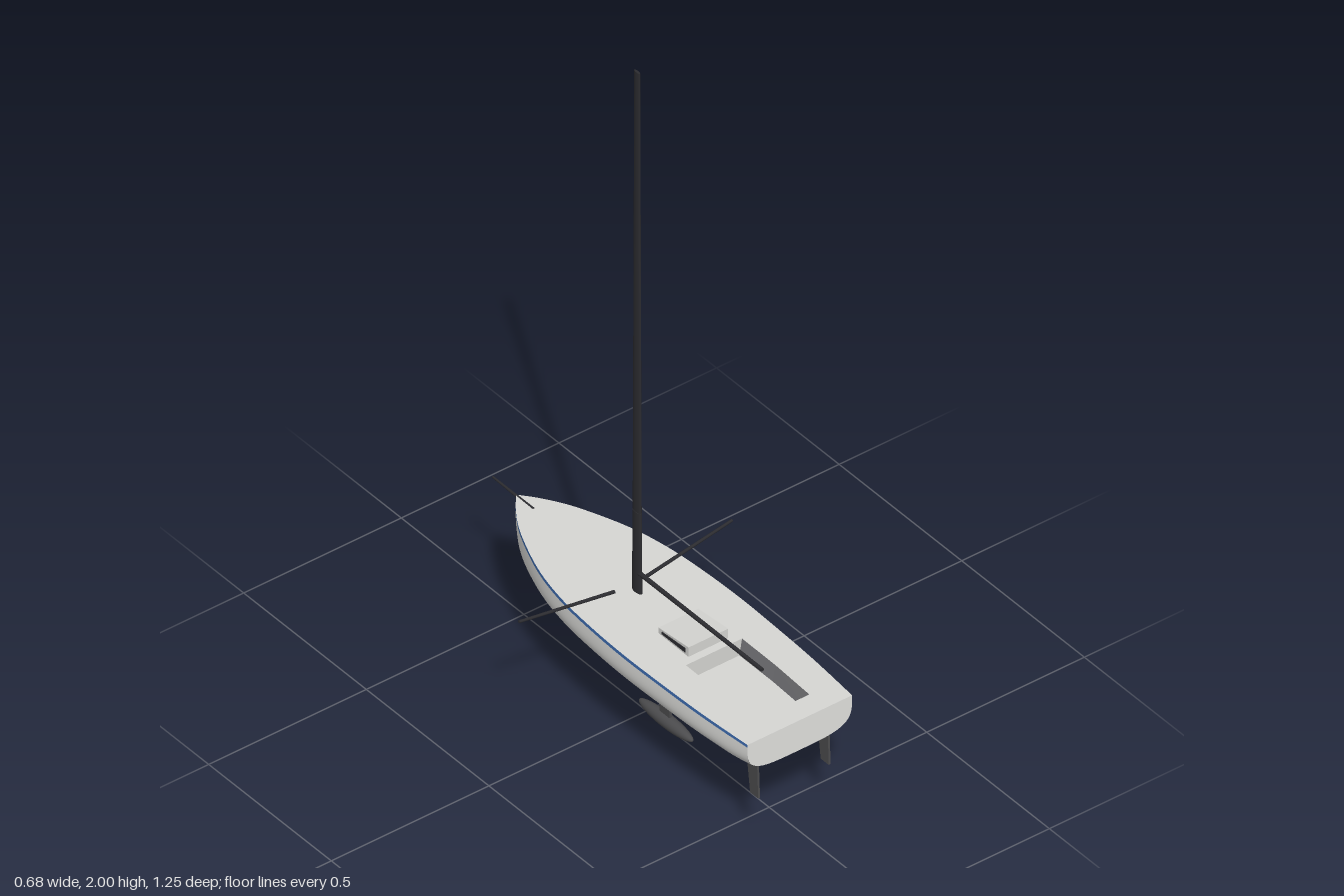
import * as THREE from 'three';

const mat = (name, color, side = THREE.FrontSide) => {
  const m = new THREE.MeshStandardMaterial({ color, side });
  m.name = name;
  return m;
};

// piecewise curves along the boat (bow at -z, stern at +z)
const STERN = 0.625, BOW = -0.53;
const beamCurve = new THREE.SplineCurve([
  [0.625, 0.166], [0.45, 0.179], [0.28, 0.185], [0.14, 0.187], [0, 0.182], [-0.13, 0.17],
  [-0.26, 0.142], [-0.4, 0.088], [-0.48, 0.041], [-0.53, 0.001],
].map(([z, b]) => new THREE.Vector2(z, b)));
const stations = beamCurve.getPoints(54);
const keelLine = [[0.625, 0.258], [0.56, 0.245], [0.4, 0.239], [0.1, 0.236], [-0.38, 0.239], [-0.43, 0.248], [-0.53, 0.3]];
const keelY = (z) => {
  for (let i = 1; i < keelLine.length; i++) {
    const [z0, y0] = keelLine[i - 1], [z1, y1] = keelLine[i];
    if (z >= z1) return y0 + (y1 - y0) * (z0 - z) / (z0 - z1);
  }
  return 0.3;
};
const deckY = (z) => 0.352 + 0.008 * (STERN - z) / (STERN - BOW);

// rounded-box hull section: x^4 + f^4 = 1, f is the depth fraction
const other = (v) => Math.pow(Math.max(0, 1 - v ** 4), 0.25);
const range = (a, b, n) => Array.from({ length: n + 1 }, (_, i) => a + (b - a) * i / n);
const sideSection = (f0, f1, n, s) => {
  const pts = range(f0, f1, n).map((f) => [s * other(f), f]);
  return s > 0 ? pts : pts.reverse();
};
const STRIPE = 0.09, WATER = 0.78, WX = other(WATER);
const bottomSection = range(WX, -WX, 20).map((x) => [x, other(x)]);

// skin a section along all stations
function skin(section) {
  const pos = [], idx = [], n = section.length;
  stations.forEach(({ x: z, y: beam }, i) => {
    const top = deckY(z), depth = top - keelY(z);
    section.forEach(([x, f], j) => {
      pos.push(x * beam, top - f * depth, z);
      if (i && j) {
        const a = (i - 1) * n + j - 1, c = i * n + j - 1;
        idx.push(a, a + 1, c, a + 1, c + 1, c);
      }
    });
  });
  const g = new THREE.BufferGeometry();
  g.setAttribute('position', new THREE.Float32BufferAttribute(pos, 3));
  g.setIndex(idx);
  g.computeVertexNormals();
  return g;
}

// thin plate from a [z, y] outline, centred on x
function plate(outline, thick) {
  const shape = new THREE.Shape(outline.map(([z, y]) => new THREE.Vector2(z, y)));
  return new THREE.ExtrudeGeometry(shape, { depth: thick, bevelEnabled: false })
    .translate(0, 0, -thick / 2).rotateY(-Math.PI / 2);
}

// round bar between two points
function bar(a, b, rA, rB) {
  const A = new THREE.Vector3(...a), B = new THREE.Vector3(...b), d = B.clone().sub(A);
  const g = new THREE.CylinderGeometry(rB, rA, d.length(), 10);
  g.applyQuaternion(new THREE.Quaternion().setFromUnitVectors(new THREE.Vector3(0, 1, 0), d.normalize()));
  return g.translate(...A.add(B).multiplyScalar(0.5).toArray());
}

function quad(a, b, c, d) {
  const g = new THREE.BufferGeometry();
  g.setAttribute('position', new THREE.Float32BufferAttribute([a, b, c, a, c, d].flat(), 3));
  g.computeVertexNormals();
  return g;
}

export function createModel() {
  const model = new THREE.Group();
  model.name = 'sailingYacht';
  const white = mat('hullWhite', 0xe2e2df, THREE.DoubleSide);
  const deckGrey = mat('deckGrey', 0xd6d6d3, THREE.DoubleSide);
  const blue = mat('stripeBlue', 0x3f6fb5, THREE.DoubleSide);
  const black = mat('bottomBlack', 0x262626, THREE.DoubleSide);
  const carbon = mat('carbon', 0x2c2c30);
  const foil = mat('foilGrey', 0x4c4c4e);
  const trim = mat('trimGrey', 0x77777a, THREE.DoubleSide);
  const add = (name, geometry, material) => {
    const m = new THREE.Mesh(geometry, material);
    m.name = name;
    model.add(m);
    return m;
  };

  // hull: stripe, topsides and bottom
  for (const [label, s] of [['left', 1], ['right', -1]]) {
    add(label + 'SheerStripe', skin(sideSection(0, STRIPE, 1, s)), blue);
    add(label + 'Topside', skin(sideSection(STRIPE, WATER, 9, s)), white);
  }
  add('hullBottom', skin(bottomSection), black);

  // transom
  const tTop = deckY(STERN), tDepth = tTop - keelY(STERN), tBeam = stations[0].y;
  const transomPts = [...sideSection(0, WATER, 9, 1), ...bottomSection.slice(1, -1), ...sideSection(0, WATER, 9, -1)]
    .map(([x, f]) => new THREE.Vector2(x * tBeam, tTop - f * tDepth));
  add('transom', new THREE.ShapeGeometry(new THREE.Shape(transomPts)).translate(0, 0, STERN), white);

  // deck with the cockpit opening
  const outline = [...stations.map((p) => [p.y, -p.x]), ...stations.slice().reverse().map((p) => [-p.y, -p.x])];
  const deckShape = new THREE.Shape(outline.map((p) => new THREE.Vector2(...p)));
  const rim = [[0.089, 0.275], [0.089, 0.41], [0.083, 0.557], [-0.083, 0.557], [-0.089, 0.41], [-0.089, 0.275]];
  deckShape.holes.push(new THREE.Path(rim.map(([x, z]) => new THREE.Vector2(x, -z))));
  const deck = new THREE.ShapeGeometry(deckShape).rotateX(-Math.PI / 2);
  const dp = deck.attributes.position;
  for (let i = 0; i < dp.count; i++) dp.setY(i, deckY(dp.getZ(i)));
  deck.computeVertexNormals();
  add('deck', deck, deckGrey);

  // cockpit well: sloping walls and floor
  const FLOOR = 0.305;
  const low = rim.map(([x, z]) => [x - Math.sign(x) * 0.008, z > 0.5 ? z - 0.004 : z]);
  rim.forEach(([x, z], i) => {
    const k = (i + 1) % rim.length, [x2, z2] = rim[k];
    const end = x * x2 < 0;
    add(end ? 'cockpitEndWall' : 'cockpitSideWall', quad([x, deckY(z), z], [x2, deckY(z2), z2],
      [low[k][0], FLOOR, low[k][1]], [low[i][0], FLOOR, low[i][1]]), end ? deckGrey : trim);
  });
  const floorShape = new THREE.Shape(low.map(([x, z]) => new THREE.Vector2(x, -z)));
  add('cockpitFloor', new THREE.ShapeGeometry(floorShape).rotateX(-Math.PI / 2).translate(0, FLOOR, 0), deckGrey);

  // companionway hatch with side windows
  add('hatch', plate([[0.252, 0.35], [0.252, 0.384], [0.13, 0.373], [0.13, 0.35]], 0.126), deckGrey);
  for (const s of [1, -1]) {
    add('hatchWindow', plate([[0.24, 0.362], [0.24, 0.375], [0.145, 0.369], [0.145, 0.362]], 0.003)
      .translate(s * 0.0635, 0, 0), carbon);
  }

  // mast in two flattened, tapering sections
  const mastPart = (name, y0, y1, rx, r0, r1) => {
    const g = new THREE.CylinderGeometry(r1, r0, y1 - y0, 16).scale(rx / r0, 1, 1);
    add(name, g.translate(0, (y0 + y1) / 2, -0.038), carbon);
  };
  mastPart('lowerMast', 0.35, 0.61, 0.0075, 0.0185, 0.0175);
  mastPart('upperMast', 0.61, 2, 0.0055, 0.0172, 0.0115);

  // boom, outriggers and bowsprit
  add('boom', bar([0, 0.418, -0.04], [0, 0.418, 0.472], 0.0065, 0.0055), carbon);
  for (const s of [1, -1]) {
    add('outrigger', bar([s * 0.05, 0.36, -0.067], [s * 0.338, 0.39, -0.086], 0.005, 0.004), carbon);
  }
  add('bowsprit', bar([0, 0.356, -0.46], [0, 0.358, -0.627], 0.005, 0.003), carbon);

  // keel fin and bulb
  add('keelFin', plate([[0.101, 0.245], [0.045, 0.245], [0.06, 0.025], [0.098, 0.025]], 0.008), foil);
  add('keelBulb', new THREE.SphereGeometry(1, 24, 16).rotateX(Math.PI / 2).scale(0.019, 0.0195, 0.109)
    .translate(0, 0.0195, 0.08), foil);

  // twin rudders
  for (const s of [1, -1]) {
    add('rudder', plate([[0.598, 0.265], [0.555, 0.265], [0.57, 0.145], [0.603, 0.145]], 0.006)
      .translate(s * 0.112, 0, 0), foil);
  }
  return model;
}
